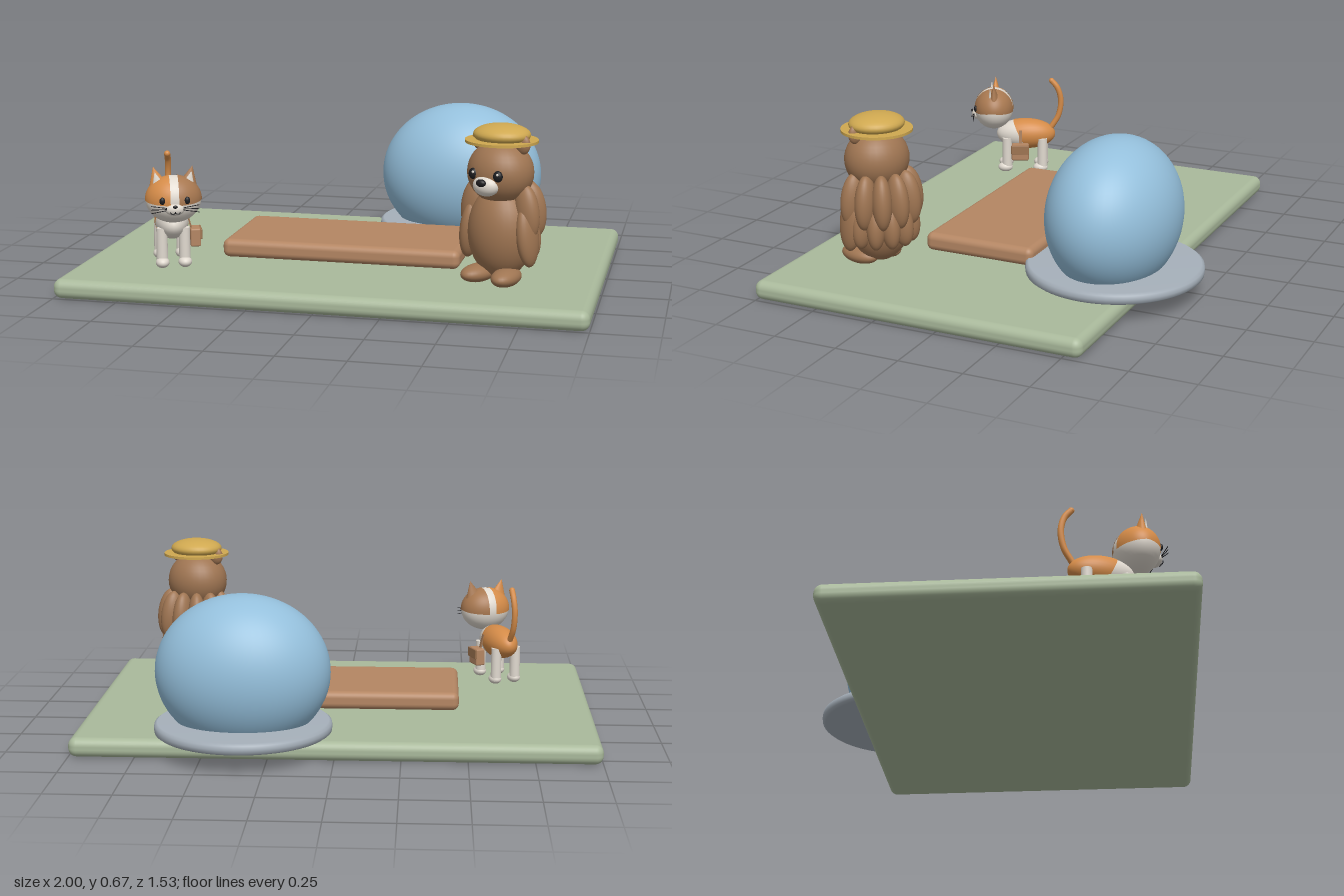
import * as THREE from 'three';
import { RoundedBoxGeometry } from 'three/addons/geometries/RoundedBoxGeometry.js';

const mat = (name, color, side = THREE.FrontSide) => {
  const m = new THREE.MeshStandardMaterial({ color, side });
  m.name = name;
  return m;
};

export function createModel() {
  const green = mat('sage green', 0xa9b99b);
  const wood = mat('warm wood', 0xb48663);
  const blue = mat('sky blue', 0x94bfdb);
  const grey = mat('stone grey', 0xa6b0ba);
  const fur = mat('brown fur', 0x9f7552);
  const straw = mat('straw', 0xcfa850);
  const cream = mat('cream', 0xe0d9cf);
  const orange = mat('ginger', 0xd48b48, THREE.DoubleSide);
  const patch = mat('brown patch', 0xa87850, THREE.DoubleSide);
  const black = mat('black', 0x1d1d20);

  const add = (parent, name, geo, material, pos = [0, 0, 0], rot = [0, 0, 0]) => {
    const m = new THREE.Mesh(geo, material);
    m.name = name;
    m.position.set(...pos);
    m.rotation.set(...rot);
    parent.add(m);
    return m;
  };
  const ball = (parent, name, material, pos, radii, rot) => {
    const m = add(parent, name, new THREE.SphereGeometry(1, 32, 20), material, pos, rot);
    m.scale.set(...radii);
    return m;
  };
  const group = (parent, name, pos, yaw = 0) => {
    const g = new THREE.Group();
    g.name = name;
    g.position.set(...pos);
    g.rotation.y = yaw;
    parent.add(g);
    return g;
  };

  const root = new THREE.Group();
  root.name = 'scene';

  // Base and raised deck
  add(root, 'base', new RoundedBoxGeometry(2, 0.075, 1.33, 4, 0.032), green, [0, 0.0375, 0.095]);
  add(root, 'deck', new RoundedBoxGeometry(0.935, 0.072, 0.455, 4, 0.026), wood, [-0.002, 0.12, 0.093]);

  // Dome on its round plinth
  const plinth = [[0, 0], [0.325, 0], [0.336, 0.008], [0.338, 0.022], [0.336, 0.037], [0.325, 0.045], [0, 0.045]];
  add(root, 'plinth', new THREE.LatheGeometry(plinth.map(p => new THREE.Vector2(...p)), 64), grey, [0.35, 0.076, -0.428]);
  const dome = add(root, 'dome', new THREE.SphereGeometry(1, 56, 36, 0, Math.PI * 2, 0, 2.35), blue, [0.35, 0.31, -0.425]);
  dome.scale.set(0.332, 0.295, 0.247);

  // Bear, standing upright
  const bear = group(root, 'bear', [0.637, 0.08, 0.415], -0.42);
  ball(bear, 'body', fur, [0, 0.19, 0], [0.128, 0.175, 0.112]);
  ball(bear, 'head', fur, [0, 0.415, 0.01], [0.126, 0.118, 0.115]);
  ball(bear, 'muzzle', cream, [0, 0.378, 0.107], [0.052, 0.039, 0.038]);
  ball(bear, 'nose', black, [0, 0.393, 0.142], [0.02, 0.014, 0.013]);
  for (const s of [-1, 1]) {
    ball(bear, 'eye', black, [s * 0.052, 0.418, 0.111], [0.019, 0.021, 0.014]);
    ball(bear, 'eyeGlint', cream, [s * 0.052 + 0.005, 0.426, 0.124], [0.005, 0.005, 0.003]);
    ball(bear, 'ear', fur, [s * 0.093, 0.525, 0.01], [0.03, 0.037, 0.018]);
    ball(bear, 'arm', fur, [s * 0.122, 0.19, 0.015], [0.036, 0.115, 0.055], [0, 0, s * 0.12]);
    ball(bear, 'foot', fur, [s * 0.06, 0.035, 0.055], [0.05, 0.034, 0.085], [0, s * 0.15, 0]);
  }
  // Two fanned rows of shaggy tufts on the back
  const tufts = (count, spread, y, r, size, tilt) => {
    for (let i = 0; i < count; i++) {
      const a = Math.PI + (i / (count - 1) - 0.5) * spread;
      const holder = group(bear, 'tuftHolder', [0, y, 0], a);
      ball(holder, 'backTuft', fur, [0, 0, r], size, [tilt, 0, 0]);
    }
  };
  tufts(7, 3.3, 0.275, 0.115, [0.038, 0.105, 0.05], -0.12);
  tufts(6, 2.6, 0.18, 0.105, [0.036, 0.09, 0.045], -0.15);

  // Straw hat
  const hat = group(bear, 'hat', [0, 0.53, 0.005]);
  add(hat, 'hatBrim', new THREE.CylinderGeometry(0.135, 0.135, 0.01, 40), straw);
  ball(hat, 'hatCrown', straw, [0, 0.023, 0], [0.108, 0.04, 0.1]);

  // Cat, standing on four legs
  const cat = group(root, 'cat', [-0.637, 0.08, 0.425], 0.4);
  ball(cat, 'body', cream, [0, 0.165, -0.01], [0.064, 0.066, 0.128]);
  // Ginger saddle over the rump
  const saddle = new THREE.SphereGeometry(1.02, 32, 20, 0, Math.PI * 2, 0, 1.75);
  saddle.rotateX(-Math.PI / 2 + 0.25);
  add(cat, 'saddle', saddle, orange, [0, 0.165, -0.01]).scale.set(0.064, 0.066, 0.128);
  for (const s of [-1, 1]) for (const z of [0.07, -0.085]) {
    add(cat, 'leg', new THREE.CylinderGeometry(0.021, 0.022, 0.14, 20), cream, [s * 0.043, 0.085, z]);
    ball(cat, 'paw', cream, [s * 0.043, 0.022, z + 0.008], [0.026, 0.021, 0.032]);
  }
  const tailPath = new THREE.CatmullRomCurve3([[0, 0.19, -0.12], [0, 0.25, -0.155], [0, 0.32, -0.165],
    [0, 0.375, -0.15], [-0.004, 0.405, -0.125]].map(p => new THREE.Vector3(...p)));
  add(cat, 'tail', new THREE.TubeGeometry(tailPath, 24, 0.012, 12), orange);
  ball(cat, 'tailTip', orange, [-0.004, 0.405, -0.125], [0.012, 0.012, 0.012]);

  // Cat head: cream with a ginger side, a brown side and a blaze between
  const head = group(cat, 'catHead', [0, 0.28, 0.13]);
  const headSize = [0.105, 0.09, 0.085];
  ball(head, 'face', cream, [0, 0, 0], headSize);
  for (const s of [-1, 1]) {
    const cap = new THREE.SphereGeometry(1.015, 28, 20, 0, Math.PI + 0.3, 0, 1.4);
    // Pole turned sideways so the cap meets the blaze in a straight line
    cap.rotateY(s > 0 ? -0.15 : 0.15);
    cap.rotateX(Math.PI / 2);
    cap.rotateY(s * Math.PI / 2);
    const p = cap.attributes.position;
    cap.computeBoundingBox();
    if (cap.boundingBox.max.y < -cap.boundingBox.min.y) cap.rotateX(Math.PI);
    const side = s > 0 ? patch : orange;
    add(head, 'facePatch', orientCap(p, s), side).scale.set(...headSize);
    add(head, 'ear', new THREE.ConeGeometry(0.034, 0.07, 20), side, [s * 0.065, 0.09, -0.005], [0, 0, -s * 0.25]).scale.z = 0.6;
    add(head, 'innerEar', new THREE.ConeGeometry(0.018, 0.042, 16), cream, [s * 0.064, 0.086, 0.012], [0, 0, -s * 0.25]).scale.z = 0.4;
    ball(head, 'eye', black, [s * 0.046, 0.008, 0.077], [0.011, 0.014, 0.008]);
    for (const k of [-1, 0, 1])
      add(head, 'whisker', new THREE.CylinderGeometry(0.0015, 0.0015, 0.06, 6), black,
        [s * 0.06, -0.022 + k * 0.009, 0.086], [0, 0, Math.PI / 2 + s * k * 0.16]);
    add(head, 'mouth', new THREE.TorusGeometry(0.009, 0.0016, 6, 12, Math.PI), black,
      [s * 0.009, -0.03, 0.097], [0, 0, Math.PI]);
  }
  ball(head, 'muzzle', cream, [0, -0.025, 0.075], [0.036, 0.024, 0.022]);
  ball(head, 'nose', black, [0, -0.012, 0.096], [0.009, 0.006, 0.005]);

  // Satchel hanging on the cat's left side
  const bag = group(cat, 'satchel', [0.088, 0.105, 0.01]);
  add(bag, 'bag', new RoundedBoxGeometry(0.04, 0.07, 0.075, 2, 0.006), wood);
  add(bag, 'bagFlap', new RoundedBoxGeometry(0.008, 0.04, 0.078, 2, 0.003), fur, [0.021, 0.014, 0]);
  add(bag, 'strap', new THREE.BoxGeometry(0.006, 0.07, 0.014), fur, [-0.02, 0.055, 0], [0, 0, 0.25]);

  return root;
}

// Side cap of a unit sphere: from the cheek to the blaze, above the muzzle line
function orientCap(source, s) {
  const rows = 20, cols = 28, pos = [], index = [];
  for (let i = 0; i <= rows; i++) for (let j = 0; j <= cols; j++) {
    const t = 1.42 * i / rows, a = -0.12 + (Math.PI + 0.24) * j / cols;
    pos.push(s * Math.cos(t) * 1.015, Math.sin(t) * Math.sin(a) * 1.015, Math.sin(t) * Math.cos(a) * 1.015);
    if (i < rows && j < cols) {
      const q = i * (cols + 1) + j, r = q + cols + 1;
      index.push(...(s > 0 ? [q, r, q + 1, r, r + 1, q + 1] : [q, q + 1, r, r, q + 1, r + 1]));
    }
  }
  const g = new THREE.BufferGeometry();
  g.setAttribute('position', new THREE.Float32BufferAttribute(pos, 3));
  g.setIndex(index);
  g.computeVertexNormals();
  return g;
}
